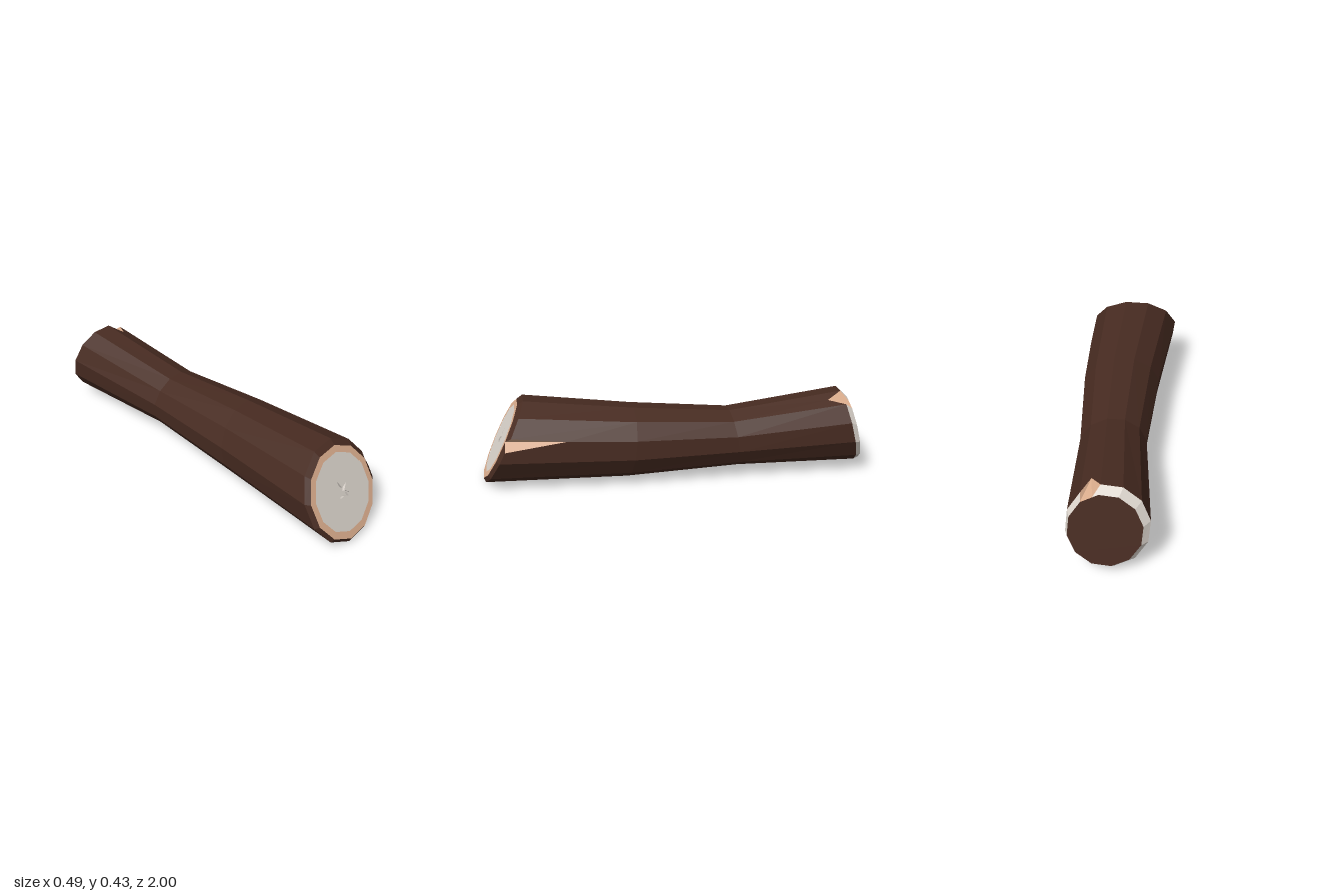
import * as THREE from 'three';

const SIDES = 12;

export function createModel() {
  const log = new THREE.Group();
  log.name = 'log';

  const material = (name, color) => {
    const m = new THREE.MeshStandardMaterial({ color, flatShading: true });
    m.name = name;
    return m;
  };
  const barkBrown = material('bark brown', 0x472b21);
  const tanWood = material('tan wood', 0xdcae8e);
  const paleWood = material('pale wood', 0xd9d2ca);

  // A part collects flat convex polygons, each given counter-clockwise from outside
  const part = (name, mat) => {
    const pos = [];
    return {
      face(...p) {
        for (let i = 1; i < p.length - 1; i++) {
          for (const v of [p[0], p[i], p[i + 1]]) pos.push(v.x, v.y, v.z);
        }
      },
      build() {
        const g = new THREE.BufferGeometry();
        g.setAttribute('position', new THREE.Float32BufferAttribute(pos, 3));
        g.computeVertexNormals();
        const mesh = new THREE.Mesh(g, mat);
        mesh.name = name;
        log.add(mesh);
      },
    };
  };

  // Tilted twelve-sided section: centre, radii and slope of z along x and y
  const ring = (cx, cy, cz, rx, ry, sx, sy) =>
    Array.from({ length: SIDES }, (_, i) => {
      const a = THREE.MathUtils.degToRad(-10 + 30 * i);
      const dx = rx * Math.cos(a), dy = ry * Math.sin(a);
      return new THREE.Vector3(cx + dx, cy + dy, cz + sx * dx + sy * dy);
    });
  const mix = (a, b, t) => a.clone().lerp(b, t);

  // Sections from front to back
  const core = ring(-0.002, 0.22, 0.897, 0.191, 0.168, -0.05, -0.51);
  const cut = ring(-0.002, 0.2185, 0.897, 0.223, 0.199, -0.05, -0.51);
  const front = ring(0, 0.2185, 0.877, 0.247, 0.22, -0.05, -0.51);
  const mid = ring(0.03, 0.2, 0.235, 0.208, 0.19, -0.15, -0.13);
  const waist = ring(0.0275, 0.1975, -0.31, 0.17, 0.155, -0.1, 0.13);
  const back = ring(-0.005, 0.23, -0.932, 0.193, 0.198, 0, 0.24);
  const cap = ring(0.005, 0.222, -0.96, 0.172, 0.175, 0, 0.23);

  const bark = part('bark', barkBrown);
  const sapwood = part('sapwoodRing', tanWood);
  const splinter = part('frontSplinter', tanWood);
  const chip = part('backChip', tanWood);
  const backRim = part('backRim', paleWood);
  const backEnd = part('backEnd', barkBrown);
  const star = part('starCrack', paleWood);

  // Joins two sections, leaving out the facets that are carved by hand
  const band = (target, a, b, skip = []) => {
    for (let i = 0; i < SIDES; i++) {
      const j = (i + 1) % SIDES;
      if (!skip.includes(i)) target.face(a[i], b[i], b[j], a[j]);
    }
  };
  band(sapwood, core, cut);
  band(bark, cut, front, [0, 1]);
  band(bark, front, mid, [0, 1]);
  band(bark, mid, waist);
  band(bark, waist, back, [2]);
  band(backRim, back, cap, [2]);
  backEnd.face(...[...cap].reverse());

  // Splinter broken out along one ridge at the front
  const low = mix(front[1], front[0], 0.5);
  const high = mix(front[1], front[2], 0.12);
  const tip = mix(front[1], mid[1], 0.44);
  bark.face(cut[0], front[0], low, cut[1]);
  bark.face(cut[1], high, front[2], cut[2]);
  bark.face(front[0], mid[0], mid[1], tip, low);
  bark.face(mid[2], front[2], high, tip, mid[1]);
  splinter.face(cut[1], low, tip);
  splinter.face(cut[1], tip, high);

  // Chip knocked off the top of the back edge
  const chipTip = mix(mix(back[2], back[3], 0.5), mix(waist[2], waist[3], 0.5), 0.14);
  const chipEnd = mix(cap[2], cap[3], 0.65);
  bark.face(waist[2], back[2], chipTip);
  bark.face(waist[2], chipTip, waist[3]);
  bark.face(waist[3], chipTip, back[3]);
  chip.face(chipTip, back[2], cap[2]);
  chip.face(chipTip, cap[2], chipEnd);
  chip.face(chipTip, chipEnd, back[3]);
  backRim.face(chipEnd, cap[3], back[3]);

  // Star crack sunk into the front face
  const outline = [
    [0.036, 0.246], [0.002, 0.238], [-0.02, 0.274], [-0.016, 0.238], [-0.053, 0.234], [-0.025, 0.221],
    [-0.03, 0.198], [0, 0.2], [0.028, 0.19], [0.022, 0.208], [0.043, 0.202], [0.01, 0.221],
  ].map(([x, y]) => new THREE.Vector2(x, y));
  const planeZ = (x, y) => 0.897 - 0.05 * (x + 0.002) - 0.51 * (y - 0.2195);
  const sink = new THREE.Vector3(0, -0.006, -0.012);
  const top = outline.map((p) => new THREE.Vector3(p.x, p.y, planeZ(p.x, p.y)));
  const floor = top.map((p) => p.clone().add(sink));
  top.forEach((p, i) => {
    const j = (i + 1) % top.length;
    star.face(p, top[j], floor[j], floor[i]);
  });
  for (const [a, b, c] of THREE.ShapeUtils.triangulateShape(outline, [])) {
    star.face(floor[a], floor[b], floor[c]);
  }

  // Heartwood disc with the star opening
  const disc = new THREE.Shape(core.map((p) => new THREE.Vector2(p.x, p.y)));
  disc.holes.push(new THREE.Path(outline));
  const discGeometry = new THREE.ShapeGeometry(disc);
  const dp = discGeometry.attributes.position;
  for (let i = 0; i < dp.count; i++) dp.setZ(i, planeZ(dp.getX(i), dp.getY(i)));
  discGeometry.computeVertexNormals();
  const heartwood = new THREE.Mesh(discGeometry, paleWood);
  heartwood.name = 'heartwood';
  log.add(heartwood);

  for (const p of [bark, sapwood, splinter, chip, backRim, backEnd, star]) p.build();
  return log;
}
